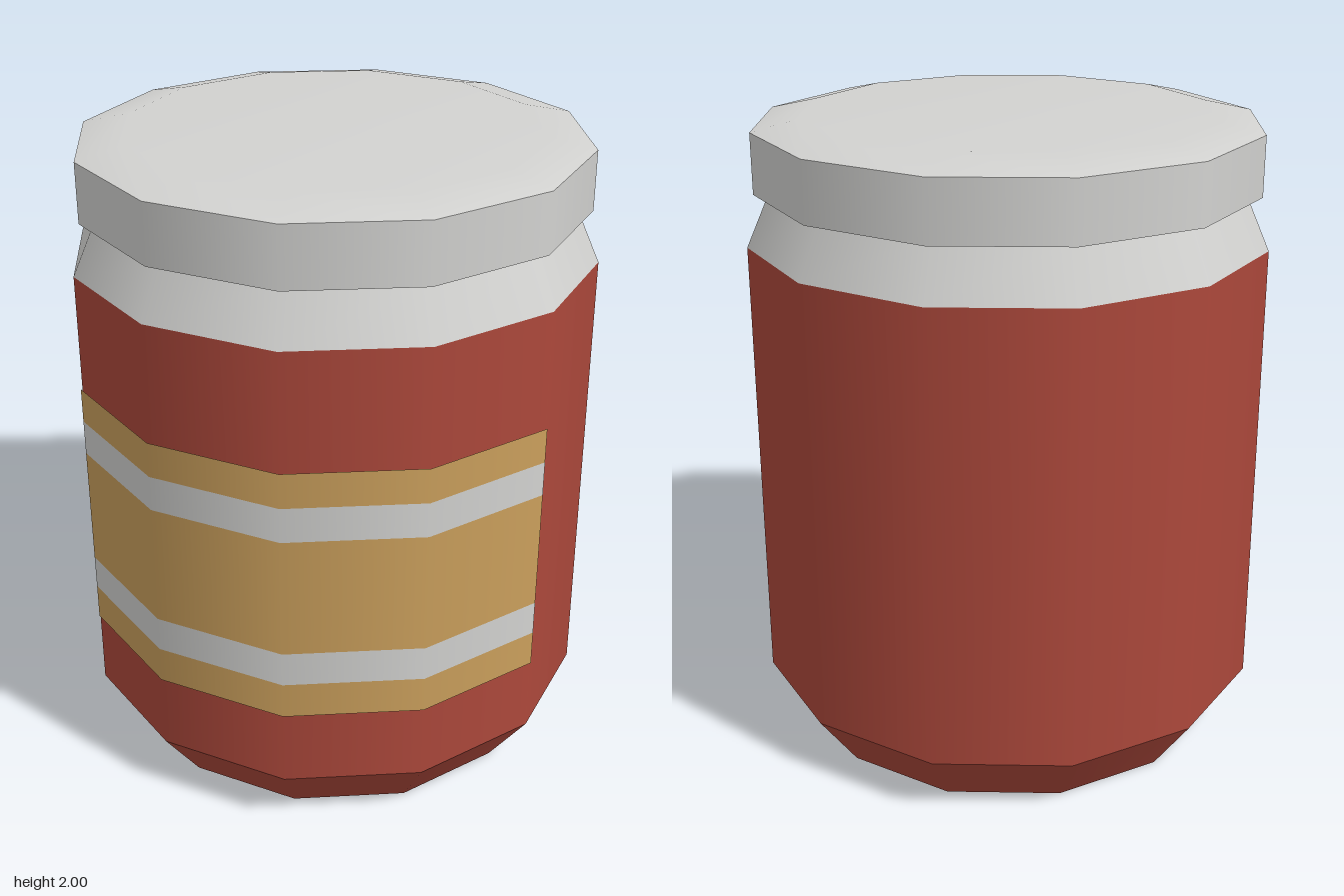
import * as THREE from 'three';

const SIDES = 12;
const R = 0.81;

export function createModel() {
  const model = new THREE.Group();
  model.name = 'jar';

  const material = (name, color) => {
    const m = new THREE.MeshStandardMaterial({ color });
    m.name = name;
    return m;
  };
  const red = material('red', 0xac483b);
  const silver = material('silver', 0xd2d2d0);
  const gold = material('gold', 0xca9f5c);

  const add = (name, geometry, mat) => {
    const mesh = new THREE.Mesh(geometry, mat);
    mesh.name = name;
    model.add(mesh);
    return mesh;
  };
  // Open twelve-sided band between two heights
  const band = (name, mat, y0, r0, y1, r1, segments = SIDES, start = 0, length = Math.PI * 2) => {
    const g = new THREE.CylinderGeometry(r1, r0, y1 - y0, segments, 1, true, start, length);
    g.translate(0, (y0 + y1) / 2, 0);
    return add(name, g, mat);
  };
  // Downward-facing disc
  const underside = (name, mat, y, r) => {
    const g = new THREE.CircleGeometry(r, SIDES);
    g.rotateX(Math.PI / 2).translate(0, y, 0);
    return add(name, g, mat);
  };

  // Jar body
  underside('base', red, 0, 0.675);
  band('lowerBevel', red, 0, 0.675, 0.19, R);
  band('body', red, 0.19, R, 1.62, R - 0.003);
  band('shoulder', silver, 1.62, R - 0.003, 1.78, 0.735);

  // Lid with a shallow domed top
  underside('lidUnderside', silver, 1.78, 0.78);
  band('lidRim', silver, 1.78, 0.78, 1.965, 0.78);
  const dome = [[0.78, 1.965], [0.63, 2], [0, 2]].map(([x, y]) => new THREE.Vector2(x, y));
  add('lidTop', new THREE.LatheGeometry(dome, SIDES), silver);

  // Front label: stacked gold and silver stripes over four faces
  const stripes = [
    [0.43, 0.545, gold], [0.545, 0.655, silver], [0.655, 1.035, gold],
    [1.035, 1.145, silver], [1.145, 1.255, gold],
  ];
  stripes.forEach(([y0, y1, mat], i) =>
    band(`labelStripe${i + 1}`, mat, y0, R + 0.003, y1, R + 0.003, 4, -Math.PI / 3, Math.PI * 2 / 3));

  return model;
}
